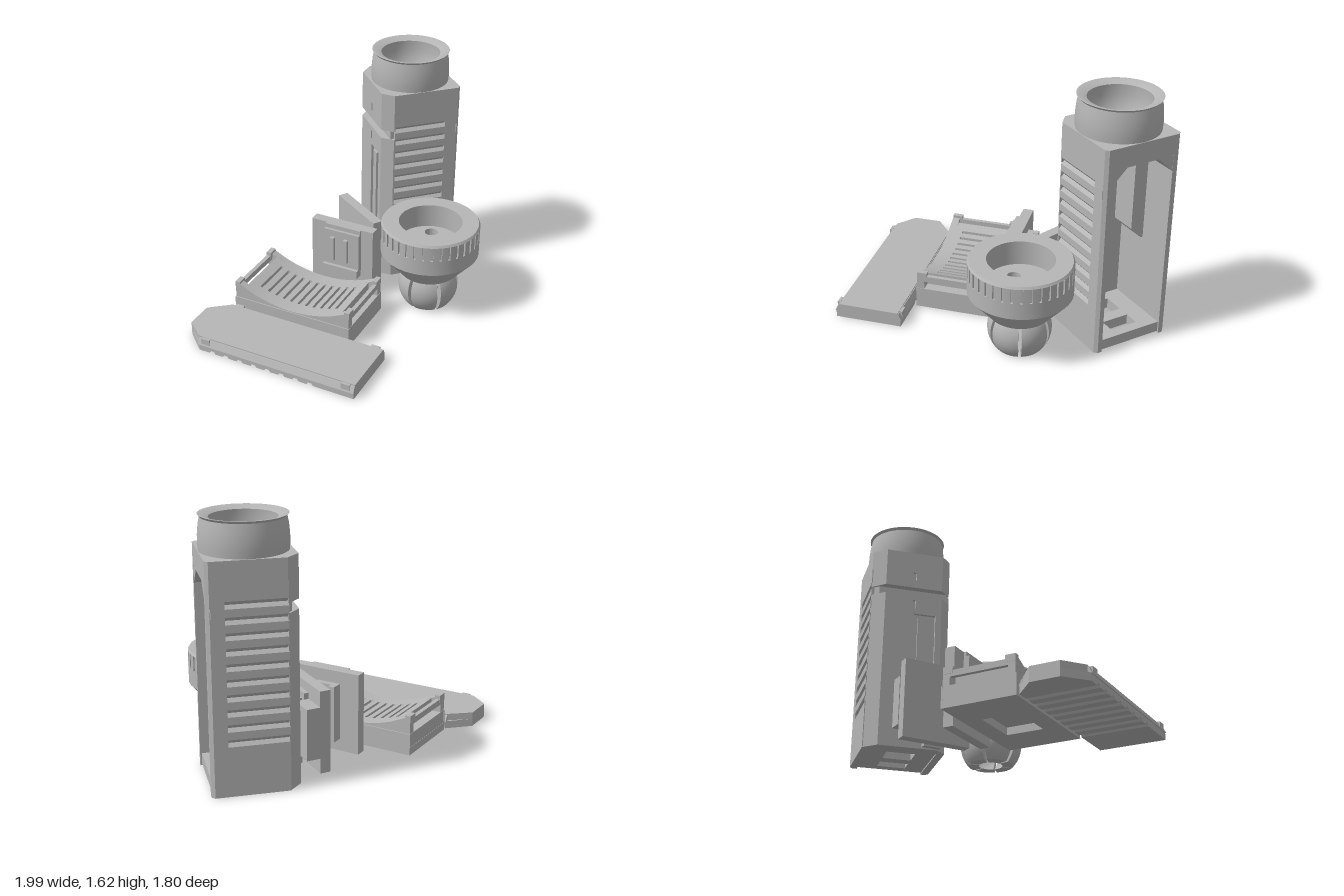
import * as THREE from 'three';
import { toCreasedNormals } from 'three/addons/utils/BufferGeometryUtils.js';

const grey = new THREE.MeshStandardMaterial({ color: 0xb6b6b6, side: THREE.DoubleSide });
grey.name = 'plain grey';

function add(parent, name, geo) {
  const m = new THREE.Mesh(toCreasedNormals(geo, 0.5), grey);
  m.name = name;
  parent.add(m);
  return m;
}
function group(parent, name, x = 0, z = 0, turn = 0) {
  const g = new THREE.Group();
  g.name = name;
  g.position.set(x, 0, z);
  g.rotation.y = turn;
  parent.add(g);
  return g;
}
// box given by its limits
function box(parent, name, x0, x1, y0, y1, z0, z1) {
  const g = new THREE.BoxGeometry(x1 - x0, y1 - y0, z1 - z0);
  return add(parent, name, g.translate((x0 + x1) / 2, (y0 + y1) / 2, (z0 + z1) / 2));
}
const poly = pts => new THREE.Shape(pts.map(p => new THREE.Vector2(p[0], p[1])));
const rect = (x0, x1, y0, y1) => poly([[x0, y0], [x1, y0], [x1, y1], [x0, y1]]);
const disc = (x, y, r) => {
  const s = new THREE.Shape();
  s.absarc(x, y, r, 0, Math.PI * 2);
  return s;
};
function extrude(shape, depth, holes = []) {
  shape.holes.push(...holes);
  return new THREE.ExtrudeGeometry(shape, { depth, bevelEnabled: false, curveSegments: 40 });
}
// plan outline (x, z) raised from y0 to y1; hole shapes use (x, -z)
const slab = (pts, y0, y1, holes) =>
  extrude(poly(pts.map(([x, z]) => [x, -z])), y1 - y0, holes).rotateX(-Math.PI / 2).translate(0, y0, 0);
// side outline using (-z, y), running from x0 to x1
const sideWall = (shape, x0, x1, holes) => extrude(shape, x1 - x0, holes).rotateY(Math.PI / 2).translate(x0, 0, 0);
const lathe = (pts, seg = 72, start = 0, len = Math.PI * 2) =>
  new THREE.LatheGeometry(pts.map(p => new THREE.Vector2(p[0], p[1])), seg, start, len);

function buildTower(root) {
  const t = group(root, 'tower');
  // three-sided shell, open to the left, cut by a cross groove on the closed side
  const inside = [[0.995, -0.855], [0.53, -0.855], [0.53, -0.415], [0.995, -0.415]];
  const outside = [
    [0.995, -0.385], [0.975, -0.365], [0.97, -0.365], [0.97, -0.385], [0.53, -0.385], [0.53, -0.365],
    [0.52, -0.365], [0.45, -0.43], [0.47, -0.43], [0.47, -0.82], [0.45, -0.82], [0.53, -0.905],
    [0.53, -0.885], [0.97, -0.885], [0.97, -0.905], [0.975, -0.905], [0.995, -0.885]];
  const grooved = [[0.995, -0.385], [0.975, -0.365], [0.97, -0.385], [0.5, -0.385], [0.5, -0.855],
    [0.53, -0.885], [0.97, -0.885], [0.975, -0.905], [0.995, -0.885]];
  add(t, 'towerShell', slab([...outside, ...inside], 0, 1.085));
  add(t, 'grooveBand', slab([...grooved, ...inside], 1.085, 1.145));
  add(t, 'towerShell', slab([...outside, ...inside], 1.145, 1.28));
  // skins with V-shaped grooves, front and back
  for (const [outer, inner] of [[0.365, 0.385], [0.905, 0.885]]) {
    const pts = [[inner, 0], [outer, 0]];
    for (let i = 0; i < 10; i++) {
      const y = 0.31 + i * 0.0915;
      pts.push([outer, y], [inner * 0.95 + outer * 0.05, y + 0.022], [outer, y + 0.044]);
    }
    pts.push([outer, 1.28], [inner, 1.28]);
    add(t, 'groovedSkin', sideWall(poly(pts), 0.525, 0.89));
    box(t, 'skinMargin', 0.89, 0.97, 0, 1.28, -Math.max(outer, inner), -Math.min(outer, inner));
  }
  // slotted skins on the closed side
  add(t, 'slottedSkin', sideWall(rect(0.43, 0.82, 0, 1.085), 0.45, 0.47,
    [rect(0.47, 0.62, 0.2, 0.95), rect(0.61, 0.63, 0.99, 1.05)]));
  add(t, 'slottedSkin', sideWall(rect(0.43, 0.82, 1.145, 1.28), 0.45, 0.47, [rect(0.61, 0.63, 1.2, 1.26)]));
  box(t, 'slideRail', 0.455, 0.475, 0.25, 0.92, -0.59, -0.53);
  // cap, arch, floor and inner fittings
  add(t, 'towerCap', slab([[0.45, -0.82], [0.53, -0.905], [0.975, -0.905], [0.995, -0.885], [0.995, -0.385],
    [0.975, -0.365], [0.52, -0.365], [0.45, -0.43]], 1.28, 1.41, [disc(0.73, 0.635, 0.215)]));
  add(t, 'arch', sideWall(poly([[0.415, 1.17], [0.52, 1.272], [0.75, 1.272], [0.855, 1.17],
    [0.855, 1.285], [0.415, 1.285]]), 0.53, 0.994));
  add(t, 'towerFloor', slab([[0.53, -0.415], [0.985, -0.415], [0.985, -0.855], [0.53, -0.855]], 0.01, 0.08,
    [rect(0.6, 0.74, 0.54, 0.73), rect(0.82, 0.92, 0.54, 0.73)]));
  box(t, 'floorBlock', 0.53, 0.6, 0.08, 0.19, -0.7, -0.415);
  add(t, 'innerFin', sideWall(poly([[0.76, 0.68], [0.84, 0.6], [0.856, 0.6], [0.856, 1.15], [0.84, 1.15],
    [0.76, 1.23]]), 0.58, 0.76));
  // collar with a bowl-shaped socket
  add(t, 'collar', lathe([[0.21, 1.41], [0.263, 1.41], [0.266, 1.45], [0.265, 1.5], [0.259, 1.56], [0.25, 1.605],
    [0.263, 1.62], [0.25, 1.62], [0.2, 1.6], [0.205, 1.53], [0.19, 1.45], [0.16, 1.4], [0.12, 1.355],
    [0, 1.345]])).position.set(0.728, 0, -0.632);
}

function buildKnob(root) {
  const k = group(root, 'ballKnob', 0.663, -0.006);
  add(k, 'knobBody', lathe([[0.12, 0.3], [0.12, 0.24], [0.195, 0.24], [0.335, 0.4], [0.335, 0.51], [0.322, 0.51],
    [0.322, 0.61], [0.335, 0.61], [0.325, 0.625], [0.215, 0.625], [0.215, 0.4], [0.12, 0.3]]));
  // raised grips around the rim
  const n = 36, step = Math.PI * 2 / n;
  for (let i = 0; i < n; i++)
    add(k, 'grip', slab([[0.14, 0.32], [0.14, 0.335], [0.5, 0.335], [0.86, 0.335], [0.86, 0.32]].map(
      ([f, r]) => [r * Math.sin((i + f) * step), r * Math.cos((i + f) * step)]), 0.51, 0.61));
  // cup floor with three holes, two of them blind
  const holes = [[-0.08, 0], [0.06, -0.12], [0.07, 0.11]];
  add(k, 'cupFloor', extrude(disc(0, 0, 0.217), 0.06, holes.map(([x, z]) => disc(x, -z, 0.045)))
    .rotateX(-Math.PI / 2).translate(0, 0.4, 0));
  for (const [x, z] of holes.slice(1))
    add(k, 'holePlug', new THREE.CylinderGeometry(0.05, 0.05, 0.02, 24).translate(x, 0.4, z));
  // split hollow ball
  const profile = [];
  const arc = (r, a, b) => {
    for (let i = 0; i <= 14; i++) {
      const t = a + (b - a) * i / 14;
      profile.push([r * Math.cos(t), 0.14 + r * Math.sin(t)]);
    }
  };
  arc(0.205, -0.75, 0.75);
  arc(0.16, 0.75, -1.06);
  profile.push(profile[0]);
  const gap = 0.12, turn = Math.PI / 3;
  for (let i = 0; i < 6; i++) {
    const a = i * turn + gap / 2, b = (i + 1) * turn - gap / 2;
    add(k, 'ballSegment', lathe(profile, 12, a, b - a));
    for (const e of [a, b])
      add(k, 'segmentEnd', new THREE.ShapeGeometry(poly(profile.slice(0, -1))).rotateY(e - Math.PI / 2));
  }
}

function buildPlate(root) {
  const p = group(root, 'slidePlate', 0, 0, -Math.PI / 4);
  // grooved underside
  const pts = [[-0.63, 0.05], [-0.63, 0]];
  for (let i = 0; i < 8; i++)
    for (const [du, y] of [[-0.022, 0], [-0.012, 0.016], [0.012, 0.016], [0.022, 0]])
      pts.push([-0.53 + i * 0.103 + du, y]);
  pts.push([0.5, 0], [0.5, 0.05]);
  add(p, 'groovedBase', extrude(poly(pts), 0.448).translate(0, 0, 0.315));
  const outline = inset => [[0.5, 0.315 + inset], [0.5, 0.763 - inset], [-0.64, 0.763 - inset],
    [-0.768, 0.638], [-0.768, 0.448], [-0.63, 0.315 + inset]];
  add(p, 'baseEnd', slab([[-0.63, 0.315], [-0.63, 0.763], [-0.768, 0.638], [-0.768, 0.448]], 0, 0.05));
  add(p, 'topSheet', slab(outline(0.02), 0.05, 0.096));
  // bevelled rails along both long edges, with raised stops
  const rail = poly([[-0.31, 0.045], [-0.33, 0.088], [-0.75, 0.088], [-0.77, 0.045]]);
  add(p, 'edgeRails', sideWall(rail, -0.635, 0.5));
  for (const u of [-0.58, 0.44])
    for (const w of [0.313, 0.745]) box(p, 'edgeStop', u - 0.03, u + 0.03, 0.05, 0.095, w, w + 0.02);
}

function buildCradle(root) {
  const c = group(root, 'cradle', 0, 0, -Math.PI / 4);
  const mid = -0.2, half = 0.428;
  const curve = u => 0.145 + 0.1 * ((u - mid) / 0.4) ** 2;
  // dished body of a given half length, with cross slots in the middle strip
  function saddle(w0, w1, reach, slotted) {
    const pts = [[mid + reach, 0.05], [mid - reach, 0.05], [mid - reach, curve(mid - reach)]];
    for (let i = -5; i <= 5; i++) {
      const a = mid - 0.01 + i * 0.057, b = a + 0.02;
      pts.push([a, curve(a)]);
      if (slotted) pts.push([a, curve(a) - 0.025], [b, curve(b) - 0.025]);
      pts.push([b, curve(b)]);
    }
    pts.push([mid + reach, curve(mid + reach)]);
    add(c, 'saddle', extrude(poly(pts), w1 - w0).translate(0, 0, w0));
  }
  saddle(-0.198, -0.15, half, false);
  saddle(-0.15, -0.1, 0.36, false);
  saddle(-0.1, 0.19, 0.36, true);
  saddle(0.19, 0.24, 0.36, false);
  saddle(0.24, 0.29, half, false);
  add(c, 'cradleBase', slab([[-0.632, -0.205], [0.23, -0.205], [0.23, 0.297], [-0.632, 0.297]], 0, 0.05,
    [rect(-0.36, -0.04, -0.17, 0.08)]));
  for (const w of [-0.205, 0.287]) box(c, 'sideLedge', -0.632, 0.23, 0.05, 0.14, w, w + 0.01);
  // hooked ends around a shallow pocket with a slot below the lintel
  for (const s of [-1, 1]) {
    const e = (a, b) => [mid + Math.min(s * a, s * b), mid + Math.max(s * a, s * b)];
    box(c, 'endBar', ...e(0.35, 0.43), 0.05, 0.14, -0.205, 0.297);
    box(c, 'endLintel', ...e(0.4, 0.428), 0.195, 0.235, -0.15, 0.24);
    for (const [w0, w1] of [[-0.198, -0.13], [0.222, 0.29]])
      box(c, 'hookTip', ...e(0.395, 0.43), 0.215, 0.26, w0, w1);
  }
}

export function createModel() {
  const root = new THREE.Group();
  root.name = 'mountKit';
  buildTower(root);
  buildKnob(root);
  buildPlate(root);
  buildCradle(root);

  // upright clip beside the cradle
  const a = group(root, 'wideClip', 0.15, -0.31, -Math.PI / 4);
  box(a, 'clipPlate', -0.233, 0.233, 0, 0.53, -0.035, 0.035);
  box(a, 'frontBlock', -0.12, 0.145, 0.17, 0.5, 0.035, 0.075);
  box(a, 'frontLip', -0.12, 0.145, 0.5, 0.53, 0.035, 0.055);
  for (const u of [-0.05, 0.05]) box(a, 'frontRib', u - 0.015, u + 0.015, 0.27, 0.45, 0.075, 0.1);
  box(a, 'frontFoot', -0.12, 0.145, 0.17, 0.23, 0.075, 0.1);
  box(a, 'backBlock', -0.1, 0.06, 0.08, 0.45, -0.075, -0.035);
  box(a, 'backHook', -0.1, -0.06, 0.08, 0.45, -0.11, -0.075);

  // upright clip beside the tower
  const b = group(root, 'narrowClip', 0.322, -0.48, -1.357);
  box(b, 'clipPlate', -0.235, 0.235, 0, 0.53, -0.035, 0.035);
  box(b, 'sideBlock', -0.24, -0.075, 0.1, 0.43, -0.125, -0.035);
  box(b, 'sideStep', -0.075, 0.08, 0.03, 0.47, -0.065, -0.035);
  box(b, 'sideHook', -0.04, 0.08, 0, 0.43, -0.1, -0.065);
  box(b, 'rearHook', 0.05, 0.1, 0.1, 0.43, 0.035, 0.09);
  return root;
}
